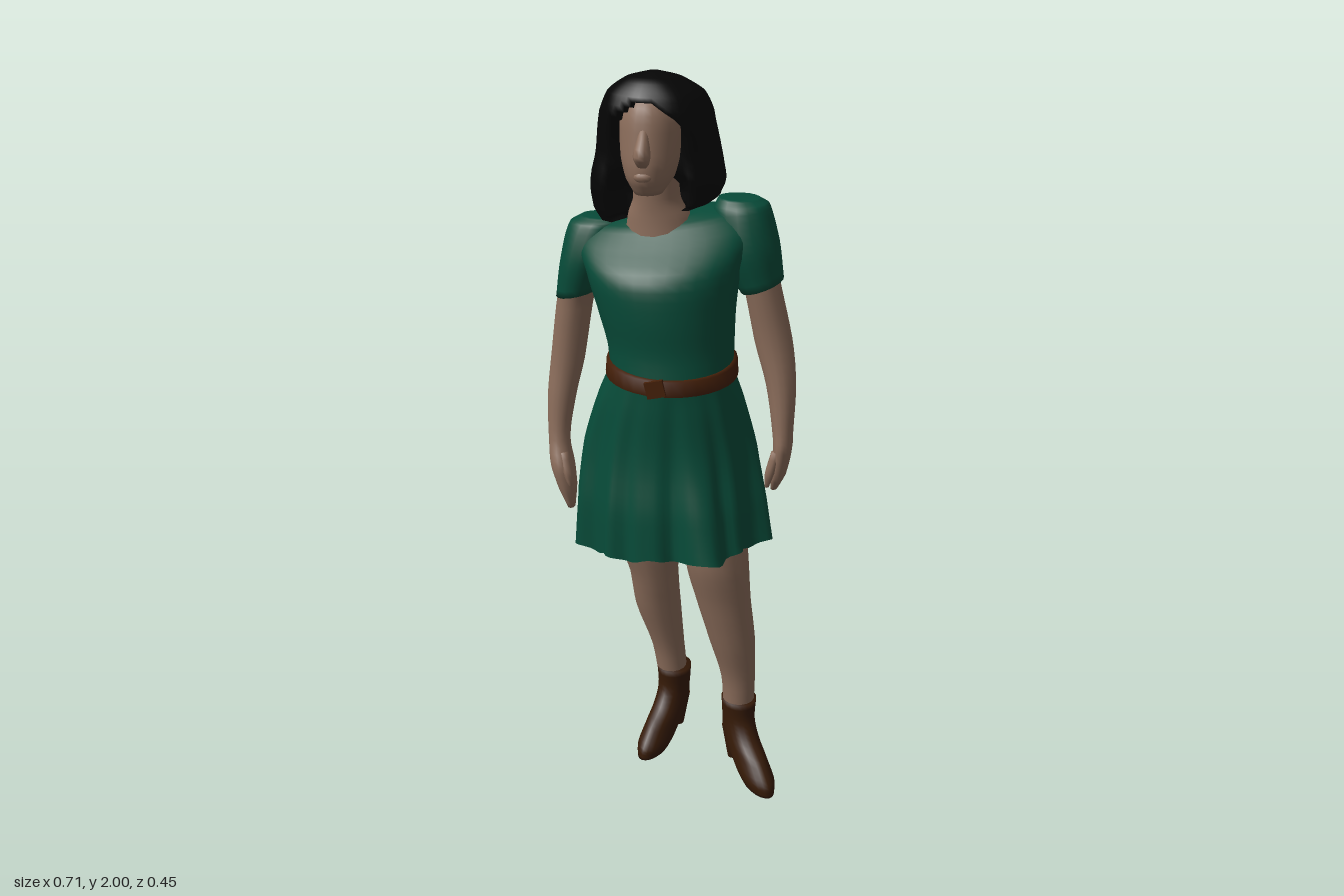
import * as THREE from 'three';

const material = (name, color, side = THREE.FrontSide) => {
  const m = new THREE.MeshStandardMaterial({ color, side });
  m.name = name;
  return m;
};

// Loft through horizontal oval sections [x, y, z, radiusX, radiusZ], listed from top to bottom.
// warp(p, angle, t, cx, cz) may move each vertex.
function loft(sections, { rows = 16, sides = 16, caps = true, warp } = {}) {
  const centre = new THREE.CatmullRomCurve3(sections.map(s => new THREE.Vector3(s[0], s[1], s[2])));
  const radius = new THREE.CatmullRomCurve3(sections.map(s => new THREE.Vector3(s[3], s[4], 0)));
  const pos = [], index = [], p = new THREE.Vector3();
  for (let i = 0; i <= rows; i++) {
    const t = i / rows, c = centre.getPoint(t), r = radius.getPoint(t);
    for (let j = 0; j < sides; j++) {
      const a = (j / sides) * Math.PI * 2;
      p.set(c.x + r.x * Math.sin(a), c.y, c.z + r.y * Math.cos(a));
      if (warp) warp(p, a, t, c.x, c.z);
      pos.push(p.x, p.y, p.z);
    }
  }
  for (let i = 0; i < rows; i++) {
    for (let j = 0; j < sides; j++) {
      const k = (j + 1) % sides;
      const a = i * sides + j, b = i * sides + k, c = a + sides, d = b + sides;
      index.push(a, c, d, a, d, b);
    }
  }
  if (caps) {
    for (const row of [0, rows]) {
      const mid = pos.length / 3, m = [0, 0, 0];
      for (let j = 0; j < sides; j++) for (let n = 0; n < 3; n++) m[n] += pos[(row * sides + j) * 3 + n] / sides;
      pos.push(...m);
      for (let j = 0; j < sides; j++) {
        const a = row * sides + j, b = row * sides + (j + 1) % sides;
        if (row === 0) index.push(mid, a, b); else index.push(mid, b, a);
      }
    }
  }
  const g = new THREE.BufferGeometry();
  g.setAttribute('position', new THREE.Float32BufferAttribute(pos, 3));
  g.setIndex(index);
  g.computeVertexNormals();
  return g;
}

export function createModel() {
  const model = new THREE.Group();
  const skin = material('skin', 0x8a6c5a);
  const green = material('green cloth', 0x074a38, THREE.DoubleSide);
  const black = material('black hair', 0x050505, THREE.DoubleSide);
  const brown = material('boot leather', 0x351a07);
  const tan = material('belt leather', 0x452009);
  const add = (name, geometry, mat, parent = model) => {
    const mesh = new THREE.Mesh(geometry, mat);
    mesh.name = name;
    parent.add(mesh);
    return mesh;
  };
  const { clamp, lerp } = THREE.MathUtils;

  // Head and neck
  add('head', loft([
    [-0.04, 1.96, -0.015, 0.03, 0.04], [-0.04, 1.935, -0.005, 0.066, 0.085], [-0.04, 1.88, 0, 0.084, 0.1],
    [-0.04, 1.8, 0.014, 0.078, 0.1], [-0.04, 1.75, 0.03, 0.062, 0.085], [-0.04, 1.71, 0.048, 0.036, 0.045],
  ], { sides: 24 }), skin);
  add('nose', loft([
    [-0.04, 1.875, 0.09, 0.01, 0.01], [-0.04, 1.815, 0.112, 0.022, 0.033], [-0.04, 1.785, 0.1, 0.016, 0.018],
  ], { rows: 6, sides: 10 }), skin);
  const lips = add('lips', new THREE.SphereGeometry(1, 12, 8), skin);
  lips.position.set(-0.04, 1.76, 0.107);
  lips.scale.set(0.024, 0.014, 0.012);
  add('neck', loft([
    [-0.04, 1.76, -0.03, 0.058, 0.058], [-0.04, 1.68, -0.035, 0.062, 0.06],
    [-0.035, 1.63, -0.045, 0.085, 0.07], [-0.03, 1.57, -0.05, 0.1, 0.08],
  ]), skin);

  // Hair: a full shell, pushed back around the face and longer on the right side
  add('hair', loft([
    [-0.04, 2.0, -0.008, 0.015, 0.015], [-0.04, 1.985, -0.012, 0.07, 0.066], [-0.038, 1.95, -0.022, 0.122, 0.11],
    [-0.038, 1.9, -0.032, 0.145, 0.135], [-0.04, 1.8, -0.052, 0.162, 0.124], [-0.045, 1.72, -0.06, 0.177, 0.134],
    [-0.045, 1.665, -0.065, 0.168, 0.116], [-0.05, 1.635, -0.06, 0.14, 0.095],
  ], {
    rows: 28, sides: 48,
    warp(p, a, t, cx, cz) {
      const wave = 1 + 0.025 * t * Math.sin(a * 9 + p.y * 24);
      p.x = cx + (p.x - cx) * wave;
      p.z = cz + (p.z - cz) * wave;
      const y = p.y, dx = p.x - cx;
      if (y < 1.91) p.z = Math.min(p.z, lerp(0.045, 0.1, clamp((y - 1.72) / 0.18, 0, 1)));
      const open = 0.092 * Math.sqrt(clamp((1.934 - y) / 0.07, 0, 1));
      if (Math.abs(dx) < open) p.z = Math.min(p.z, lerp(-0.05, 0.03, clamp((y - 1.7) / 0.06, 0, 1)));
      if (y < 1.75) p.y += dx * 0.2 * (1.75 - y) / 0.11;
    },
  }), black);

  // Dress bodice with broad shoulders, tilted up to the left
  add('bodice', loft([
    [-0.03, 1.64, -0.095, 0.1, 0.075], [-0.03, 1.622, -0.09, 0.2, 0.1], [-0.025, 1.575, -0.068, 0.236, 0.126],
    [-0.02, 1.5, -0.024, 0.208, 0.155], [-0.01, 1.4, -0.01, 0.186, 0.156], [0.005, 1.3, 0, 0.17, 0.145],
    [0.012, 1.22, 0.014, 0.164, 0.142],
  ], {
    rows: 24, sides: 32,
    warp(p, a) {
      if (p.y > 1.4) p.y += (p.x * 0.14 - 0.012 * Math.max(0, Math.cos(a))) * (p.y - 1.4) / 0.22;
    },
  }), green);

  // Pleated skirt, with a wide fold at the left front and another at the right back, lowest behind
  const bump = (a, at, width) => Math.exp(-(((a - at) / width) ** 2));
  add('skirt', loft([
    [0.012, 1.24, 0.014, 0.163, 0.142], [0.008, 1.15, 0.006, 0.198, 0.152], [0.002, 1.0, -0.012, 0.24, 0.176],
    [0.005, 0.86, -0.007, 0.26, 0.196], [0.01, 0.728, -0.004, 0.27, 0.204],
  ], {
    rows: 20, sides: 120, caps: false,
    warp(p, a, t, cx, cz) {
      const fold = 1 + t * (0.045 * Math.cos(a * 13 + 0.6) + 0.03 * Math.cos(a * 7 + 2) + 0.02 * Math.sin(a * 23))
        + t * t * (0.2 * bump(a, 0.52, 0.2) + 0.15 * bump(a, 3.65, 0.2));
      p.x = cx + (p.x - cx) * fold;
      p.z = cz + (p.z - cz) * fold;
      p.y += t * t * (0.025 * Math.sin(a) + 0.012 * Math.cos(a) - 0.045 * bump(a, 2.75, 0.55)
        + 0.006 * Math.cos(a * 13 + 0.6));
    },
  }), green);

  // Flat belt, lower in front, with a knot
  add('belt', loft([
    [0.012, 1.264, 0.012, 0.162, 0.142], [0.012, 1.262, 0.012, 0.175, 0.153],
    [0.012, 1.222, 0.014, 0.178, 0.155], [0.012, 1.22, 0.014, 0.164, 0.142],
  ], { rows: 3, sides: 32, caps: false, warp: (p, a) => { p.y -= 0.016 * Math.cos(a); } }), tan);
  const knot = add('beltKnot', new THREE.BoxGeometry(0.05, 0.045, 0.012), tan);
  knot.position.set(0.005, 1.226, 0.166);
  knot.rotation.z = 0.25;

  // Sleeves
  const slope = k => (p, a, t, cx) => { p.y += t * k * (p.x - cx); };
  add('rightSleeve', loft([
    [-0.2, 1.607, -0.088, 0.06, 0.045], [-0.215, 1.59, -0.086, 0.078, 0.066],
    [-0.243, 1.5, -0.08, 0.073, 0.084], [-0.272, 1.395, -0.073, 0.058, 0.07],
  ], { warp: slope(0.2) }), green);
  add('leftSleeve', loft([
    [0.163, 1.674, -0.1, 0.054, 0.045], [0.17, 1.65, -0.097, 0.074, 0.068],
    [0.192, 1.55, -0.092, 0.08, 0.088], [0.232, 1.445, -0.09, 0.055, 0.078],
  ], { warp: slope(0.35) }), green);

  // Bare arms ending in relaxed hands
  add('rightArm', loft([
    [-0.25, 1.48, -0.07, 0.05, 0.055], [-0.275, 1.4, -0.075, 0.05, 0.055], [-0.305, 1.2, -0.07, 0.047, 0.05],
    [-0.318, 1.1, -0.05, 0.04, 0.042], [-0.32, 0.98, -0.02, 0.03, 0.032], [-0.306, 0.91, 0, 0.033, 0.042],
    [-0.293, 0.85, 0.006, 0.027, 0.036], [-0.28, 0.785, 0.012, 0.01, 0.016],
  ], { rows: 28 }), skin);
  add('leftArm', loft([
    [0.21, 1.53, -0.09, 0.05, 0.055], [0.235, 1.43, -0.09, 0.05, 0.053], [0.265, 1.3, -0.088, 0.052, 0.05],
    [0.293, 1.18, -0.07, 0.041, 0.045], [0.306, 1.06, -0.045, 0.029, 0.037], [0.308, 1.0, -0.045, 0.025, 0.046],
    [0.296, 0.92, -0.058, 0.021, 0.045], [0.283, 0.868, -0.075, 0.01, 0.02],
  ], { rows: 28 }), skin);
  add('rightThumb', loft([[-0.3, 0.95, 0.01, 0.014, 0.014], [-0.285, 0.9, 0.03, 0.013, 0.013],
    [-0.275, 0.86, 0.035, 0.006, 0.006]], { rows: 6, sides: 8 }), skin);
  add('leftThumb', loft([[0.295, 1.0, -0.02, 0.014, 0.014], [0.28, 0.94, -0.01, 0.013, 0.013],
    [0.272, 0.895, -0.015, 0.006, 0.006]], { rows: 6, sides: 8 }), skin);

  // Legs
  add('rightLeg', loft([
    [-0.07, 0.98, -0.05, 0.09, 0.1], [-0.075, 0.7, -0.06, 0.094, 0.09], [-0.06, 0.57, -0.068, 0.07, 0.074],
    [-0.052, 0.45, -0.086, 0.066, 0.068], [-0.026, 0.3, -0.105, 0.047, 0.052], [-0.012, 0.19, -0.107, 0.043, 0.046],
  ], { rows: 20 }), skin);
  add('leftLeg', loft([
    [0.12, 0.98, 0.03, 0.09, 0.1], [0.15, 0.7, 0.052, 0.089, 0.088], [0.17, 0.57, 0.048, 0.078, 0.068],
    [0.194, 0.43, 0.03, 0.066, 0.063], [0.212, 0.3, 0.02, 0.049, 0.046], [0.214, 0.19, 0.02, 0.044, 0.044],
  ], { rows: 20 }), skin);

  // Heeled ankle boots
  const upper = loft([
    [0, 0.228, 0, 0.05, 0.054], [0, 0.17, 0, 0.045, 0.056], [0, 0.12, 0.016, 0.044, 0.076],
    [0, 0.08, 0.052, 0.044, 0.102], [0, 0.035, 0.11, 0.045, 0.088], [0, 0.006, 0.13, 0.036, 0.074],
  ], { rows: 18, sides: 20 });
  const heel = new THREE.CylinderGeometry(0.034, 0.015, 0.11, 12);
  for (const [name, x, z, turn] of [['rightBoot', -0.008, -0.105, -0.25], ['leftBoot', 0.215, 0.018, 0.67]]) {
    const boot = new THREE.Group();
    boot.name = name;
    boot.position.set(x, 0, z);
    boot.rotation.y = turn;
    add('bootUpper', upper, brown, boot);
    add('bootHeel', heel, brown, boot).position.set(0, 0.055, -0.03);
    model.add(boot);
  }
  return model;
}
